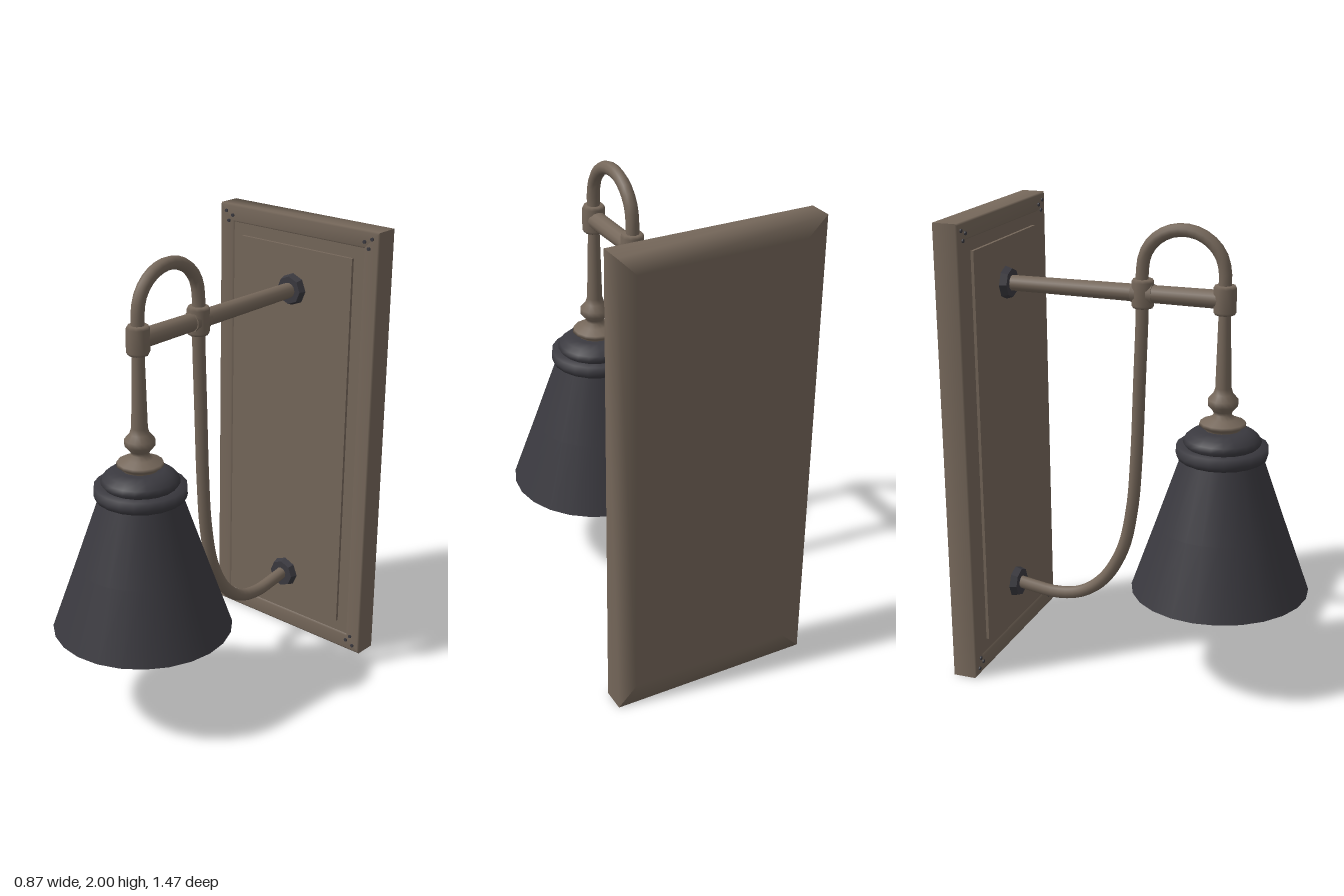
import * as THREE from 'three';

const bronze = new THREE.MeshStandardMaterial({ color: 0x75675a, side: THREE.DoubleSide });
bronze.name = 'aged bronze';
const dark = new THREE.MeshStandardMaterial({ color: 0x3a393f, side: THREE.DoubleSide });
dark.name = 'dark iron';
const glass = new THREE.MeshStandardMaterial({ color: 0xdedede });
glass.name = 'white glass';

const W = 0.435, H = 1; // half size of the wall plate
const LAMP_X = -0.008, LAMP_Z = 0.348, ARM_Y = 1.68;

function add(parent, name, geometry, material, x = 0, y = 0, z = 0) {
  const mesh = new THREE.Mesh(geometry, material);
  mesh.name = name;
  mesh.position.set(x, y, z);
  parent.add(mesh);
  return mesh;
}

function lathe(points, segments) {
  return new THREE.LatheGeometry(points.map(([r, y]) => new THREE.Vector2(r, y)), segments);
}

// One mitred moulding bar running between two plate corners
function frameBar(a, b) {
  const profile = [[0.08, -0.735], [0, -0.735], [0, -0.635], [0.008, -0.63], [0.07, -0.63], [0.08, -0.64]];
  const positions = [], index = [];
  profile.forEach(([inset, z], j) => {
    for (const [sx, sy] of [a, b]) positions.push(sx * (W - inset), H + sy * (H - inset), z);
    if (j < profile.length - 1) {
      const k = 2 * j;
      index.push(k, k + 1, k + 3, k, k + 3, k + 2);
    }
  });
  const g = new THREE.BufferGeometry();
  g.setAttribute('position', new THREE.Float32BufferAttribute(positions, 3));
  g.setIndex(index);
  g.computeVertexNormals();
  return g;
}

function wallPlate() {
  const plate = new THREE.Group();
  plate.name = 'wallPlate';
  const corners = [[1, 1], [-1, 1], [-1, -1], [1, -1]];
  corners.forEach((c, i) => add(plate, 'frameBar', frameBar(c, corners[(i + 1) % 4]), bronze));
  add(plate, 'backPanel', new THREE.BoxGeometry(0.72, 1.85, 0.097), bronze, 0, H, -0.6855);
  add(plate, 'raisedPanel', new THREE.BoxGeometry(0.61, 1.74, 0.02), bronze, 0, H, -0.634);

  // Three small pins in every corner
  const pin = new THREE.CylinderGeometry(0.008, 0.008, 0.012, 8).rotateX(Math.PI / 2);
  for (const [sx, sy] of corners) {
    for (const [dx, dy] of [[0.05, 0.075], [0.073, 0.048], [0.035, 0.032]]) {
      add(plate, 'cornerPin', pin, dark, sx * (W - dx), H + sy * (H - dy), -0.63);
    }
  }
  return plate;
}

function bracket() {
  const group = new THREE.Group();
  group.name = 'bracket';
  group.position.x = LAMP_X;

  // Straight arm
  const arm = new THREE.CylinderGeometry(0.04, 0.034, 0.97, 12).rotateX(Math.PI / 2);
  add(group, 'arm', arm, bronze, 0, ARM_Y, -0.135);

  // Hooked tube: over the arch, then down and back to the wall
  const path = [[LAMP_Z, 1.64], [LAMP_Z, 1.76]];
  for (let i = 0; i <= 8; i++) {
    const t = (i / 8) * Math.PI;
    path.push([0.171 + 0.177 * Math.cos(t), 1.785 + 0.168 * Math.sin(t)]);
  }
  path.push([-0.008, 1.6], [-0.02, 1.3], [-0.035, 0.95], [-0.055, 0.72], [-0.1, 0.52],
    [-0.19, 0.365], [-0.3, 0.285], [-0.42, 0.263], [-0.53, 0.275], [-0.62, 0.29]);
  const curve = new THREE.CatmullRomCurve3(path.map(([z, y]) => new THREE.Vector3(0, y, z)));
  add(group, 'hookedTube', new THREE.TubeGeometry(curve, 72, 0.028, 10), bronze);

  // Sleeves where the tube crosses the arm
  const sleeve = lathe([[0, -0.06], [0.042, -0.06], [0.049, -0.048], [0.049, 0.048], [0.042, 0.06], [0, 0.06]], 10);
  for (const z of [LAMP_Z, -0.005]) {
    add(group, 'sleeve', sleeve, bronze, 0, ARM_Y, z);
  }
  const collar = new THREE.CylinderGeometry(0.043, 0.043, 0.09, 10).rotateX(Math.PI / 2);
  add(group, 'armCollar', collar, bronze, 0, ARM_Y, -0.005);

  // Wall nuts
  const nut = new THREE.CylinderGeometry(0.062, 0.073, 0.035, 8).rotateX(Math.PI / 2).toNonIndexed();
  nut.computeVertexNormals();
  for (const y of [ARM_Y, 0.285]) add(group, 'wallNut', nut, dark, 0, y, -0.611);
  return group;
}

function lamp() {
  const group = new THREE.Group();
  group.name = 'lamp';
  group.position.set(LAMP_X, 0, LAMP_Z);

  // Hanging stem with a turned bead and flange
  add(group, 'stem', lathe([
    [0.08, 1.12], [0.075, 1.135], [0.1, 1.15], [0.095, 1.162], [0.055, 1.178], [0.037, 1.195],
    [0.042, 1.21], [0.064, 1.235], [0.064, 1.26], [0.042, 1.285], [0.034, 1.31], [0.025, 1.64]], 14), bronze);

  // Dark cap
  add(group, 'cap', lathe([
    [0.0, 1.13], [0.1, 1.13], [0.135, 1.115], [0.158, 1.095], [0.166, 1.075], [0.15, 1.055]], 20), dark);

  // Collar band around the top of the shade
  add(group, 'collarBand', lathe([
    [0.14, 1.058], [0.194, 1.06], [0.195, 1.025], [0.19, 1.008], [0.172, 0.997]], 20), dark);

  // Flared shade, open below
  add(group, 'shade', lathe([[0.173, 1.01], [0.277, 0.71], [0.383, 0.41]], 24), dark);

  // Bulb
  const bulb = [];
  for (let i = 0; i <= 12; i++) {
    const t = (i / 12) * 2.6;
    bulb.push([0.165 * Math.sin(t), 0.62 - 0.165 * Math.cos(t)]);
  }
  bulb.push([0.065, 0.86], [0.06, 1.04]);
  add(group, 'bulb', lathe(bulb, 20), glass);
  return group;
}

export function createModel() {
  const model = new THREE.Group();
  model.name = 'wallLamp';
  model.add(wallPlate(), bracket(), lamp());
  return model;
}
